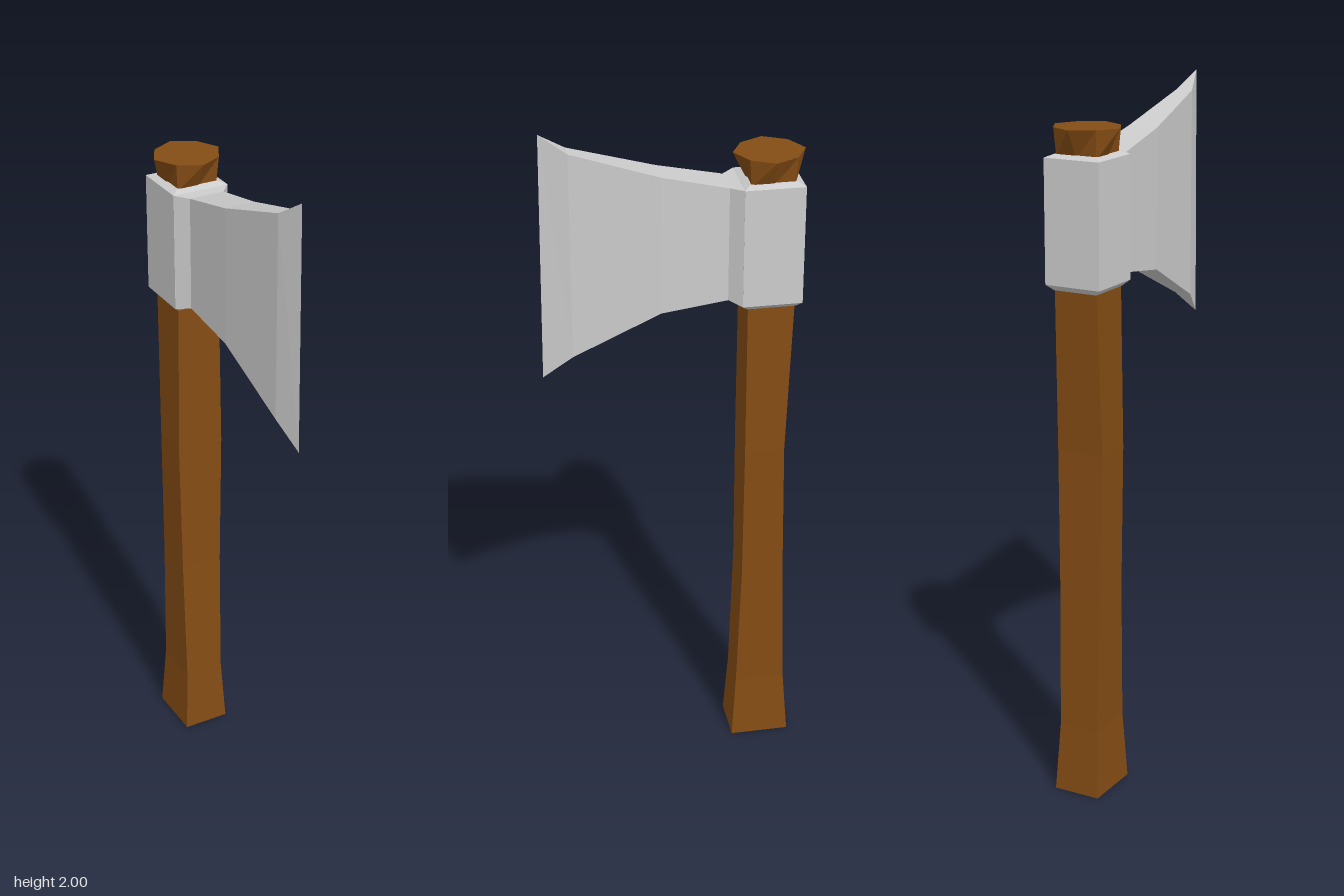
import * as THREE from 'three';

const wood = new THREE.MeshStandardMaterial({ color: 0x844c14, flatShading: true });
const steel = new THREE.MeshStandardMaterial({ color: 0xcccccc, flatShading: true });

// Skins a list of equal-length rings (counter-clockwise seen from the last ring) and closes both ends
function loft(name, rings, material) {
  const pos = [];
  const tri = (a, b, c) => {
    if (new THREE.Triangle(a, b, c).getArea() > 1e-7) for (const p of [a, b, c]) pos.push(p.x, p.y, p.z);
  };
  const n = rings[0].length;
  for (let r = 0; r < rings.length - 1; r++) {
    const a = rings[r], b = rings[r + 1];
    for (let i = 0; i < n; i++) {
      const j = (i + 1) % n;
      tri(a[i], a[j], b[j]);
      tri(a[i], b[j], b[i]);
    }
  }
  const first = rings[0], last = rings[rings.length - 1];
  for (let i = 1; i < n - 1; i++) {
    tri(first[0], first[i + 1], first[i]);
    tri(last[0], last[i], last[i + 1]);
  }
  const geometry = new THREE.BufferGeometry();
  geometry.setAttribute('position', new THREE.Float32BufferAttribute(pos, 3));
  geometry.computeVertexNormals();
  const mesh = new THREE.Mesh(geometry, material);
  mesh.name = name;
  return mesh;
}

const v = (x, y, z) => new THREE.Vector3(x, y, z);

// Horizontal rectangle: height, half width, front z, back z
const level = ([y, w, front, back]) => [v(w, y, front), v(w, y, back), v(-w, y, back), v(-w, y, front)];

// Upright rectangle: half width, bottom y, top y, z at the bottom, z at the top
const slice = ([w, low, high, zLow, zHigh = zLow]) =>
  [v(w, low, zLow), v(w, high, zHigh), v(-w, high, zHigh), v(-w, low, zLow)];

export function createModel() {
  const axe = new THREE.Group();
  axe.name = 'axe';

  // Gently curved square handle, flared at the foot
  axe.add(loft('handle', [
    [0, 0.07, -0.18, -0.355],
    [0.2, 0.06, -0.192, -0.34],
    [0.6, 0.064, -0.203, -0.327],
    [1.02, 0.071, -0.203, -0.318],
    [1.48, 0.065, -0.203, -0.335],
    [1.845, 0.06, -0.205, -0.325],
  ].map(level), wood));

  // Handle end: a square neck spreading into an octagon
  const zc = -0.267, neck = [], top = [];
  for (let i = 0; i < 8; i++) {
    const a = i * Math.PI / 4, c = Math.cos(a), s = Math.sin(a);
    const m = 0.06 / Math.max(Math.abs(c), Math.abs(s));
    const r = i % 2 ? 0.093 : 0.1;
    neck.push(v(m * c, 1.835, zc - m * s));
    top.push(v(r * c, 1.915, zc - r * s));
  }
  axe.add(loft('handleCap', [neck, top], wood));

  // Socket around the handle, bevelled at both ends
  axe.add(loft('socket', [
    [1.477, 0.066, -0.202, -0.337],
    [1.493, 0.084, -0.185, -0.353],
    [1.836, 0.084, -0.185, -0.353],
    [1.845, 0.064, -0.203, -0.333],
  ].map(level), steel));

  // Blade flaring forward to a sharp edge
  axe.add(loft('blade', [
    [0.084, 1.493, 1.836, -0.186],
    [0.052, 1.503, 1.834, -0.15],
    [0.045, 1.475, 1.875, 0.035],
    [0.025, 1.352, 1.95, 0.28],
    [0, 1.283, 2, 0.363, 0.355],
  ].map(slice), steel));

  return axe;
}
